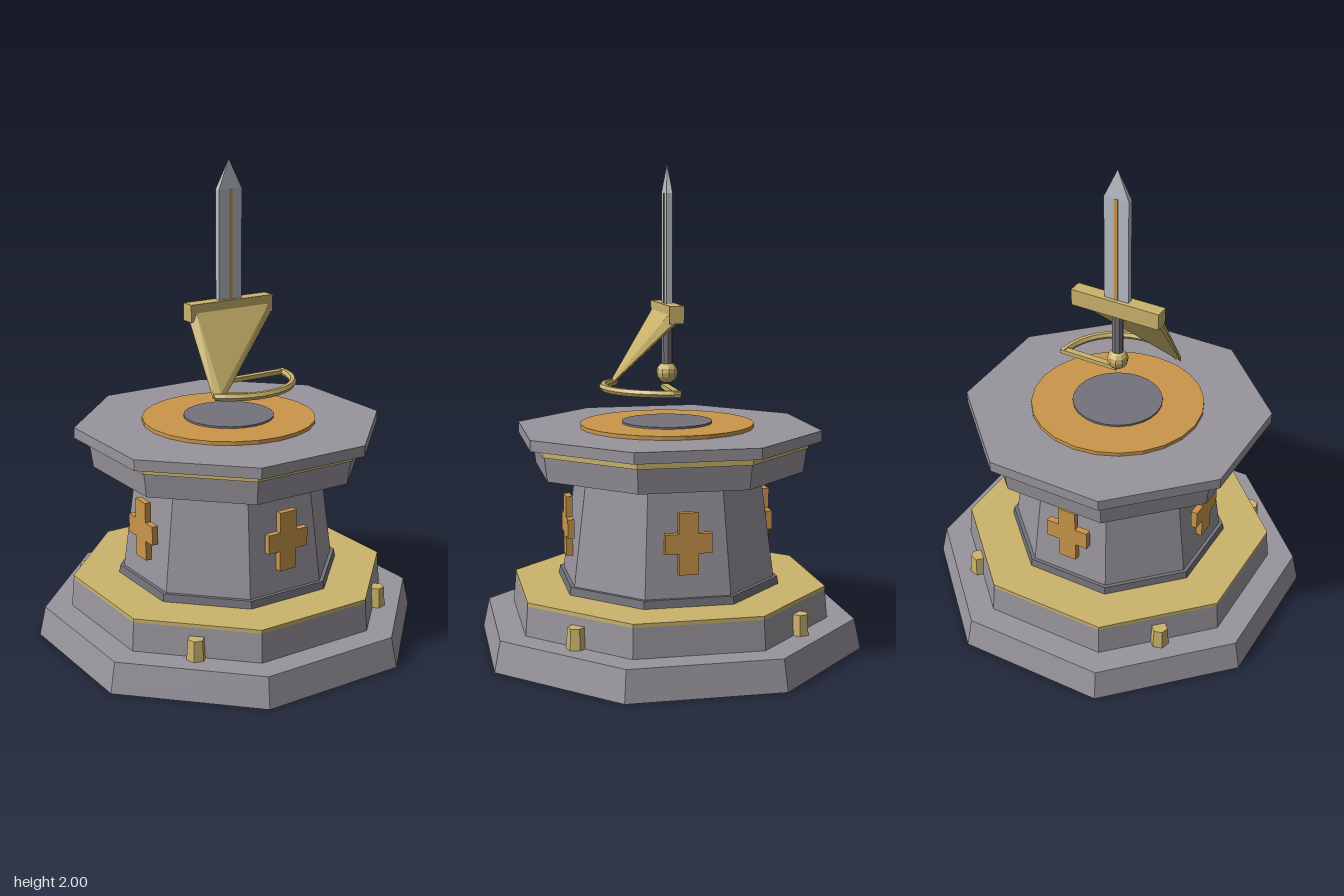
import * as THREE from 'three';
import { ConvexGeometry } from 'three/addons/geometries/ConvexGeometry.js';

function material(name, color) {
  const m = new THREE.MeshStandardMaterial({ color, flatShading: true });
  m.name = name;
  return m;
}

export function createModel() {
  const model = new THREE.Group();
  model.name = 'swordMonument';

  const stone = material('stone', 0x98959c);
  const darkStone = material('darkStone', 0x74727a);
  const gold = material('gold', 0xcbb46c);
  const bronze = material('bronze', 0xcb974b);
  const steel = material('steel', 0xb6bdc4);

  function add(name, geometry, mat, x = 0, y = 0, z = 0, parent = model) {
    const mesh = new THREE.Mesh(geometry, mat);
    mesh.name = name;
    mesh.position.set(x, y, z);
    parent.add(mesh);
    return mesh;
  }

  // Octagonal tiers: name, bottom y, top y, bottom and top distance to the flats
  const tiers = [
    ['baseStep', 0, 0.125, 0.76, 0.735, stone],
    ['upperStep', 0.125, 0.245, 0.63, 0.62, stone],
    ['stepPlate', 0.245, 0.26, 0.62, 0.62, gold],
    ['columnFoot', 0.26, 0.292, 0.44, 0.435, darkStone],
    ['column', 0.292, 0.74, 0.42, 0.365, stone],
    ['capital', 0.74, 0.84, 0.53, 0.543, stone],
    ['capitalBand', 0.84, 0.87, 0.55, 0.55, gold],
    ['topSlab', 0.87, 0.915, 0.6, 0.6, stone],
  ];
  const toCorner = 1 / Math.cos(Math.PI / 8);
  for (const [name, y0, y1, bottom, top, mat] of tiers) {
    const g = new THREE.CylinderGeometry(top * toCorner, bottom * toCorner, y1 - y0, 8);
    g.rotateY(Math.PI / 8);
    add(name, g, mat, 0, (y0 + y1) / 2, 0);
  }

  // Discs on the slab
  add('outerDisc', new THREE.CylinderGeometry(0.365, 0.365, 0.016, 24), bronze, 0, 0.923, 0);
  add('innerDisc', new THREE.CylinderGeometry(0.19, 0.19, 0.01, 24), darkStone, 0, 0.934, 0);

  // Crosses on the four main sides and studs on the four diagonal sides
  const a = 0.04, w = 0.095, h = 0.125;
  const cross = new THREE.Shape([
    [-a, -h], [a, -h], [a, -a], [w, -a], [w, a], [a, a],
    [a, h], [-a, h], [-a, a], [-w, a], [-w, -a], [-a, -a],
  ].map(([x, y]) => new THREE.Vector2(x, y)));
  const crossGeometry = new THREE.ExtrudeGeometry(cross, { depth: 0.027, bevelEnabled: false });
  const studGeometry = new THREE.CylinderGeometry(0.034, 0.04, 0.085, 6);
  for (let i = 0; i < 4; i++) {
    const side = new THREE.Group();
    side.name = 'sideOrnaments';
    side.rotation.y = i * Math.PI / 2;
    model.add(side);
    add('cross', crossGeometry, bronze, 0, 0.513, 0.408, side);
    add('stud', studGeometry, gold, 0.452, 0.1675, 0.452, side).rotation.y = Math.PI / 4;
  }

  // Sword blade, pointed tip and raised rib
  add('blade', new THREE.BoxGeometry(0.11, 0.45, 0.025), steel, 0, 1.655, 0);
  const tip = new THREE.ConeGeometry(Math.SQRT1_2, 0.12, 4);
  tip.rotateY(Math.PI / 4);
  tip.scale(0.11, 1, 0.025);
  add('bladeTip', tip, steel, 0, 1.94, 0);
  add('bladeRib', new THREE.BoxGeometry(0.016, 0.45, 0.031), bronze, 0, 1.655, 0);

  // Hilt
  add('crossGuard', new THREE.BoxGeometry(0.4, 0.072, 0.06), gold, 0, 1.395, 0);
  add('grip', new THREE.CylinderGeometry(0.024, 0.024, 0.22, 8), darkStone, 0, 1.27, 0);
  add('pommel', new THREE.SphereGeometry(0.045, 10, 8), gold, 0, 1.142, 0);

  // Curved hand guard with an arm back to the pommel
  const arc = new THREE.TorusGeometry(0.267, 0.016, 6, 16, Math.PI * 0.75);
  arc.rotateX(Math.PI / 2);
  add('guardArc', arc, gold, 0, 1.085, 0);
  add('guardArm', new THREE.BoxGeometry(0.27, 0.018, 0.028), gold, 0.145, 1.087, 0.013);

  // Tapering web between the cross guard and the end of the arc
  const web = [
    [-0.198, 1.36, 0.015], [-0.175, 1.395, 0.03], [0.18, 1.395, 0.03], [0.198, 1.355, 0.02],
    [-0.19, 1.362, -0.005], [0.19, 1.362, -0.005],
    [-0.2, 1.08, 0.188], [-0.198, 1.1, 0.19], [-0.165, 1.075, 0.212], [-0.172, 1.1, 0.205],
  ].map((p) => new THREE.Vector3(...p));
  add('guardWeb', new ConvexGeometry(web), gold);

  return model;
}
